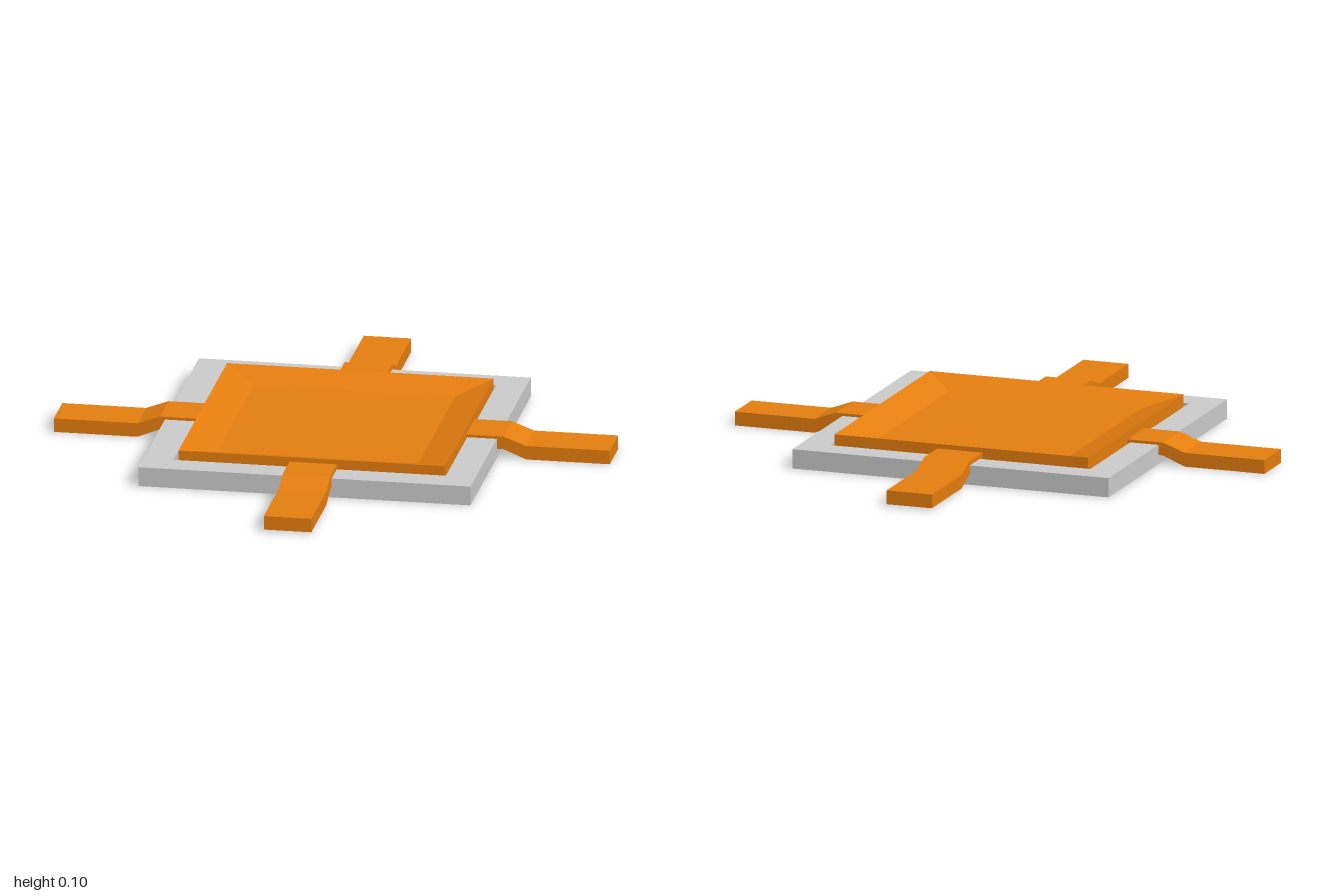
import * as THREE from 'three';

const grey = new THREE.MeshStandardMaterial({ color: 0xcccccc, flatShading: true, side: THREE.DoubleSide });
const orange = new THREE.MeshStandardMaterial({ color: 0xe67e0f, flatShading: true, side: THREE.DoubleSide });

// Mesh from a list of four-cornered faces
function quadMesh(name, quads, material) {
  const pos = [];
  for (const [a, b, c, d] of quads) pos.push(...a, ...b, ...c, ...a, ...c, ...d);
  const geo = new THREE.BufferGeometry();
  geo.setAttribute('position', new THREE.Float32BufferAttribute(pos, 3));
  geo.computeVertexNormals();
  const mesh = new THREE.Mesh(geo, material);
  mesh.name = name;
  return mesh;
}

// Shell through rectangular rings [halfX, halfZ, y], closed at the last ring
function ringShell(name, rings, material) {
  const loops = rings.map(([hx, hz, y]) => [[-hx, y, -hz], [-hx, y, hz], [hx, y, hz], [hx, y, -hz]]);
  const quads = [];
  for (let r = 0; r < loops.length - 1; r++) {
    for (let i = 0; i < 4; i++) {
      const j = (i + 1) % 4;
      quads.push([loops[r][i], loops[r][j], loops[r + 1][j], loops[r + 1][i]]);
    }
  }
  quads.push(loops[loops.length - 1]);
  return quadMesh(name, quads, material);
}

// Bent strap along +x, open underneath and at its inner end
function strap(name) {
  const profile = [[0.48, 0.08, 0.035], [0.615, 0.08, 0.033], [0.695, 0.05, 0], [0.995, 0.05, 0]];
  const w = 0.085;
  const quads = [];
  for (let i = 0; i < profile.length - 1; i++) {
    const [x0, t0, b0] = profile[i];
    const [x1, t1, b1] = profile[i + 1];
    quads.push(
      [[x0, t0, w], [x1, t1, w], [x1, t1, -w], [x0, t0, -w]],
      [[x0, b0, w], [x1, b1, w], [x1, t1, w], [x0, t0, w]],
      [[x1, b1, -w], [x0, b0, -w], [x0, t0, -w], [x1, t1, -w]],
    );
  }
  const [x, t, b] = profile[profile.length - 1];
  quads.push([[x, b, w], [x, b, -w], [x, t, -w], [x, t, w]]);
  return quadMesh(name, quads, orange);
}

export function createModel() {
  const model = new THREE.Group();
  model.name = 'pressurePlate';

  // Hollow base frame with a sunken tray in the middle
  const base = ringShell('baseFrame', [
    [0.594, 0.601, 0], [0.594, 0.601, 0.07], [0.488, 0.5, 0.07], [0.488, 0.5, 0.013],
  ], grey);
  base.position.set(-0.007, 0, -0.01);
  model.add(base);

  // Pad with a shallow sloped dish
  model.add(ringShell('dishedPad', [
    [0.477, 0.483, 0.016], [0.477, 0.483, 0.103], [0.36, 0.366, 0.067],
  ], orange));

  // Four straps, one per side
  ['leftStrap', 'backStrap', 'rightStrap', 'frontStrap'].forEach((name, i) => {
    const s = strap(name);
    s.rotation.y = i * Math.PI / 2;
    if (i % 2) s.position.set(0.005, 0.006, 0);
    else s.position.set(-0.004, 0, -0.02);
    model.add(s);
  });

  return model;
}
